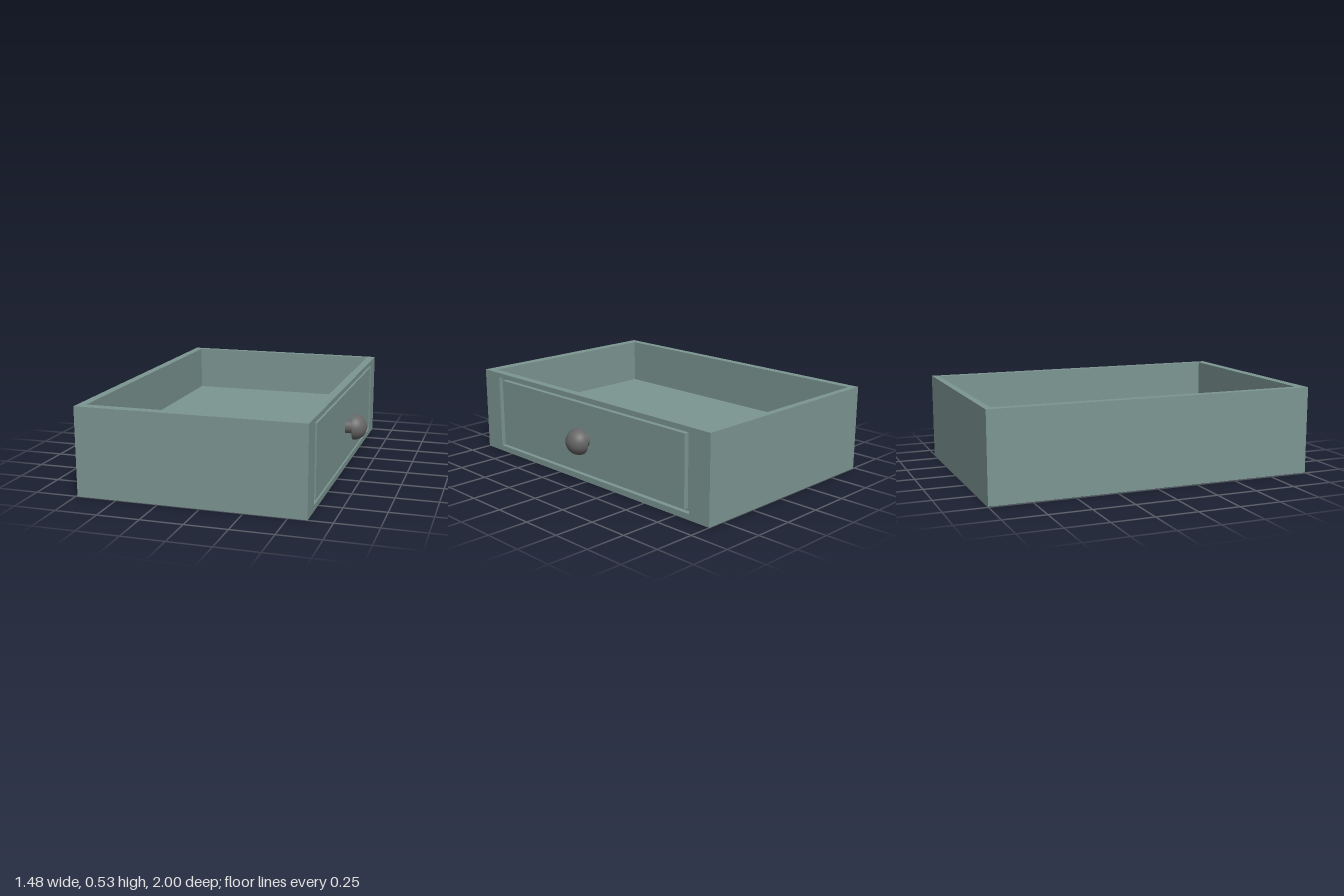
import * as THREE from 'three';

const paint = new THREE.MeshStandardMaterial({ color: 0x7c9692 });
const metal = new THREE.MeshStandardMaterial({ color: 0x666666 });

// Rectangle outline from corner (x0, y0) to corner (x1, y1)
function rect(x0, y0, x1, y1, Type = THREE.Shape) {
  return new Type([[x0, y0], [x1, y0], [x1, y1], [x0, y1]].map(p => new THREE.Vector2(...p)));
}

function extrude(shape, depth) {
  return new THREE.ExtrudeGeometry(shape, { depth, bevelEnabled: false });
}

export function createModel() {
  const drawer = new THREE.Group();
  drawer.name = 'drawer';
  const add = (name, geometry, material) => {
    const mesh = new THREE.Mesh(geometry, material);
    mesh.name = name;
    drawer.add(mesh);
  };

  const height = 0.53, floorTop = 0.245;
  const back = -0.74, face = 0.61, grooveDepth = 0.03, knobY = 0.268;

  // Four walls around the open compartment, behind the moulded face
  const walls = rect(back, -1, face - grooveDepth, 1);
  walls.holes.push(rect(-0.69, -0.94, 0.56, 0.96, THREE.Path)); // shape y becomes -z
  add('walls', extrude(walls, height).rotateX(-Math.PI / 2), paint);

  // Thick floor filling the compartment's lower part
  add('floor', new THREE.BoxGeometry(1.25, floorTop, 1.9)
    .translate(-0.065, floorTop / 2, -0.01), paint);

  // Face frame and raised panel, with a narrow groove between them
  const frame = rect(-1, 0, 1, height);
  frame.holes.push(rect(-0.853, 0.036, 0.853, 0.501, THREE.Path));
  const panel = rect(-0.815, 0.052, 0.815, 0.486);
  for (const [name, shape] of [['faceFrame', frame], ['facePanel', panel]]) {
    add(name, extrude(shape, grooveDepth).rotateY(Math.PI / 2)
      .translate(face - grooveDepth, 0, 0), paint);
  }

  // Knob: short stem and half-round head with a flat back
  add('knobStem', new THREE.CylinderGeometry(0.042, 0.042, 0.06, 32)
    .rotateZ(-Math.PI / 2).translate(0.635, knobY, 0), metal);
  const r = 0.081, headX = 0.74 - r;
  add('knobHead', new THREE.SphereGeometry(r, 32, 16, 0, Math.PI * 2, 0, Math.PI / 2)
    .rotateZ(-Math.PI / 2).translate(headX, knobY, 0), metal);
  add('knobBack', new THREE.CircleGeometry(r, 32)
    .rotateY(-Math.PI / 2).translate(headX, knobY, 0), metal);

  return drawer;
}
